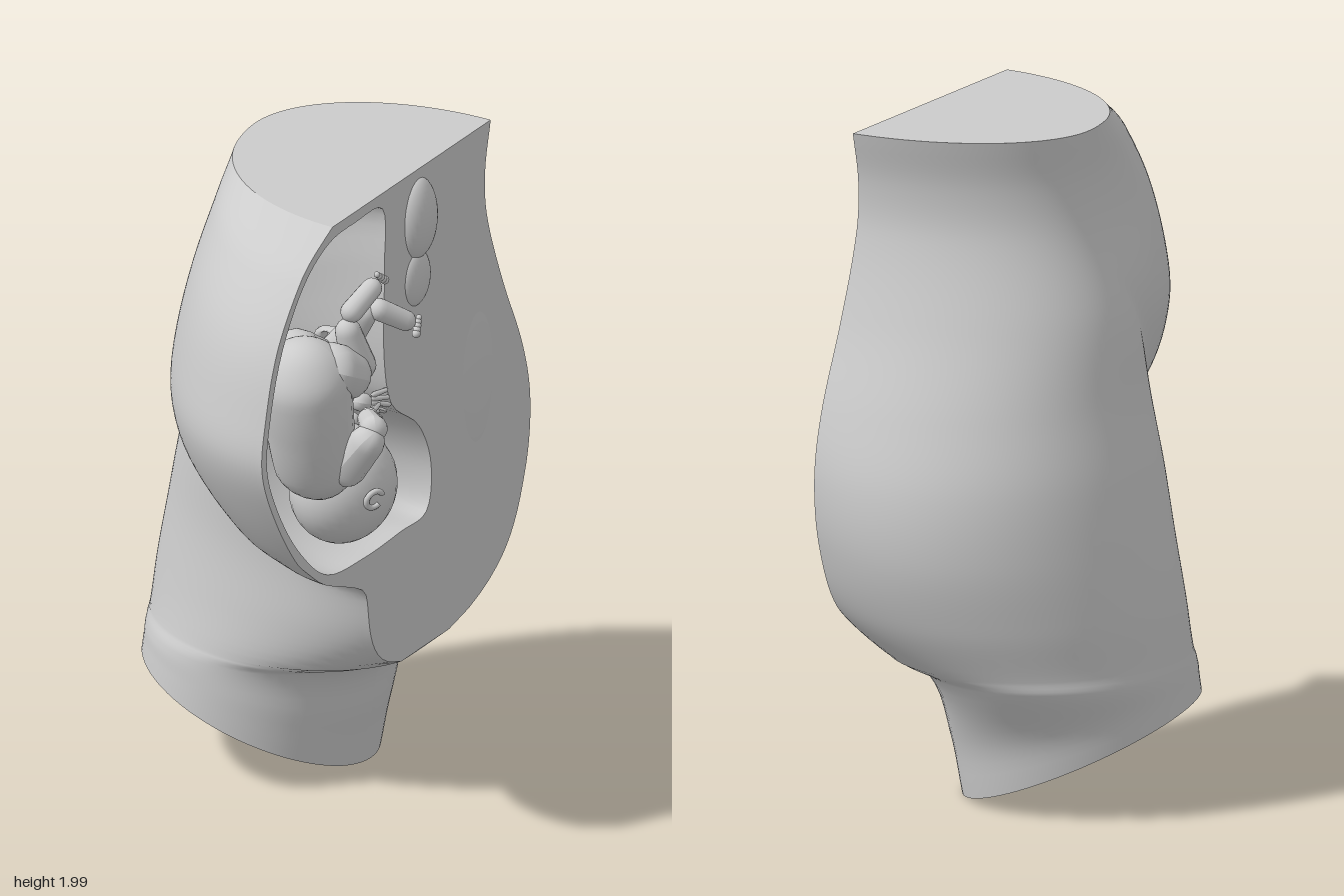
import * as THREE from 'three';

const CUT = 0.33; // x of the flat section plane
const V3 = (a) => new THREE.Vector3(a[0], a[1], a[2]);

// Body sections: y, ellipse centre x, outermost x, front z, back z
const SECTIONS = [
  [0, -0.22, -0.565, 0.25, -0.47], [0.2, -0.2, -0.56, 0.25, -0.5], [0.41, -0.17, -0.555, 0.25, -0.6],
  [0.45, -0.1, -0.55, 0.25, -0.63], [0.6, 0, -0.535, 0.24, -0.71], [0.8, 0.06, -0.5, 0.23, -0.76],
  [1, 0.12, -0.46, 0.25, -0.75], [1.2, 0.2, -0.41, 0.28, -0.68], [1.45, 0.28, -0.36, 0.3, -0.56],
  [1.7, 0.33, -0.27, 0.32, -0.47], [1.85, 0.33, -0.24, 0.33, -0.46], [2, 0.33, -0.24, 0.34, -0.49],
];
// Belly bulge: y, front z at the section plane, half width
const BELLY = [
  [0, -0.1, 0.2], [0.6, -0.1, 0.2], [0.72, 0.1, 0.22], [0.79, 0.25, 0.25], [0.86, 0.41, 0.31], [0.92, 0.49, 0.4],
  [1, 0.575, 0.49], [1.2, 0.7, 0.62], [1.36, 0.76, 0.66], [1.5, 0.745, 0.66], [1.72, 0.675, 0.62],
  [1.9, 0.54, 0.58], [1.96, 0.45, 0.57], [2, 0.36, 0.56],
];

// Smooth interpolation of column k of a table over its first column
function sample(t, k, y) {
  let i = 0;
  while (i < t.length - 2 && y > t[i + 1][0]) i++;
  const slope = (j) => {
    const a = t[Math.max(j - 1, 0)], b = t[Math.min(j + 1, t.length - 1)];
    return (b[k] - a[k]) / (b[0] - a[0]);
  };
  const h = t[i + 1][0] - t[i][0], s = (y - t[i][0]) / h, s2 = s * s, s3 = s2 * s;
  return (2 * s3 - 3 * s2 + 1) * t[i][k] + (s3 - 2 * s2 + s) * h * slope(i)
    + (3 * s2 - 2 * s3) * t[i + 1][k] + (s3 - s2) * h * slope(i + 1);
}

// One horizontal section, from the front of the cut round the side to the back
function ring(y, n) {
  const [xo, side, zF, zB] = [1, 2, 3, 4].map((k) => sample(SECTIONS, k, y));
  const bF = sample(BELLY, 1, y), bw = sample(BELLY, 2, y);
  const w = xo - side, zs = -0.11;
  const start = Math.acos(Math.min(1, (CUT - xo) / w));
  const pts = [];
  for (let i = 0; i <= n; i++) {
    const a = start + (2 * Math.PI - 2 * start) * i / n, s = Math.sin(a);
    const x = xo + w * Math.cos(a);
    let z = zs + s * (s > 0 ? zF - zs : zs - zB);
    if (s > 0) {
      const q = (CUT - x) / bw;
      const belly = -0.1 + (bF + 0.1) * Math.sqrt(Math.max(0, 1 - q * q));
      const merged = (z + belly + Math.hypot(z - belly, 0.05)) / 2 - 0.004;
      z += (merged - z) * THREE.MathUtils.smoothstep(s, 0, 0.35);
    }
    pts.push(new THREE.Vector3(x, y, z));
  }
  return pts;
}

// Surface through rows of points
function loft(rows) {
  const n = rows[0].length, index = [];
  for (let j = 0; j < rows.length - 1; j++) for (let i = 0; i < n - 1; i++) {
    const a = j * n + i, c = a + n;
    index.push(a, a + 1, c, a + 1, c + 1, c);
  }
  const g = new THREE.BufferGeometry().setFromPoints(rows.flat());
  g.setIndex(index);
  g.computeVertexNormals();
  return g;
}

// Rounded tube through [x, y, z, radius] points
function limbGeometry(p, seg = 28, sides = 14) {
  const curve = new THREE.CatmullRomCurve3(p.map(V3));
  const g = new THREE.TubeGeometry(curve, seg, 1, sides, false), pos = g.attributes.position;
  const len = curve.getLength(), v = new THREE.Vector3();
  for (let i = 0; i <= seg; i++) {
    const u = (1 - Math.cos(Math.PI * i / seg)) / 2; // denser rings at the ends
    const c = curve.getPointAt(u), old = curve.getPointAt(i / seg);
    const t = curve.getUtoTmapping(u) * (p.length - 1), k = Math.min(Math.floor(t), p.length - 2);
    const r = THREE.MathUtils.lerp(p[k][3], p[k + 1][3], t - k);
    const d = Math.min(1, Math.min(u, 1 - u) * len / r);
    const rr = r * Math.sqrt(Math.max(0, 1 - (1 - d) * (1 - d)));
    for (let j = 0; j <= sides; j++) {
      const id = i * (sides + 1) + j;
      v.fromBufferAttribute(pos, id).sub(old).multiplyScalar(rr).add(c);
      pos.setXYZ(id, v.x, v.y, v.z);
    }
  }
  g.computeVertexNormals();
  return g;
}

export function createModel() {
  const model = new THREE.Group();
  const grey = new THREE.MeshStandardMaterial({ color: 0xcccccc });
  const thin = new THREE.MeshStandardMaterial({ color: 0xcccccc, side: THREE.DoubleSide });
  const add = (name, geometry, material = grey, parent = model) => {
    const m = new THREE.Mesh(geometry, material);
    m.name = name;
    parent.add(m);
    return m;
  };
  const ball = (name, c, r, parent) => {
    const m = add(name, new THREE.SphereGeometry(1, 32, 20), grey, parent);
    m.position.set(...c);
    m.scale.set(...r);
    return m;
  };

  // Skin: torso down to the crotch, then the open thigh with its slanted rim
  const N = 80, rows = [];
  for (let j = 0; j <= 64; j++) rows.push(ring(2 - 1.55 * j / 64, N));
  const torsoRows = rows.slice();
  for (const y of [0.44, 0.43, 0.42]) rows.push(ring(y, N));
  for (let j = 0; j <= 10; j++) {
    const t = j / 10, r = ring(0.41 * (1 - t), N);
    r.forEach((p) => { p.y = THREE.MathUtils.lerp(0.41, Math.max(0, 0.1 - 0.385 * p.x + 0.2 * p.z), t); });
    rows.push(r);
  }
  add('torsoAndThighSkin', loft(rows), thin);

  // Flat top
  const top = new THREE.ShapeGeometry(new THREE.Shape(rows[0].map((p) => new THREE.Vector2(p.x, -p.z))));
  add('topSection', top.rotateX(-Math.PI / 2).translate(0, 2, 0));

  // Section face with the womb opening
  const opening = new THREE.CatmullRomCurve3([
    [0.1, 1.95], [0.25, 1.965], [0.39, 1.955], [0.52, 1.88], [0.645, 1.71], [0.715, 1.5], [0.73, 1.36], [0.67, 1.2],
    [0.55, 1.02], [0.4, 0.89], [0.2, 0.865], [0, 0.87], [-0.14, 0.88], [-0.165, 1.02], [-0.1, 1.17],
    [0.05, 1.3], [0.09, 1.45], [0.09, 1.75],
  ].map(([z, y]) => new THREE.Vector3(CUT, y, z)), true).getPoints(90);
  const flat = (p) => new THREE.Vector2(-p.z, p.y);
  const face = new THREE.Shape([
    ...torsoRows.map((r) => flat(r[0])), ...torsoRows.map((r) => flat(r[N])).reverse(),
  ]);
  face.holes.push(new THREE.Path(opening.slice(0, -1).map(flat)));
  add('sectionFace', new THREE.ShapeGeometry(face).rotateY(Math.PI / 2).translate(CUT, 0, 0), thin);

  // Womb cavity: the opening shrinking to a dome inside the belly
  const cavity = [];
  for (let j = 0; j <= 20; j++) {
    const a = Math.PI / 2 * j / 20, s = Math.cos(a);
    cavity.push(opening.map((p) => new THREE.Vector3(
      CUT - 0.46 * Math.sin(a), 1.4 + (p.y - 1.4) * s, 0.28 + (p.z - 0.28) * s)));
  }
  add('wombCavity', loft(cavity), thin);

  // Soft swellings on the section face over the spine
  ball('upperSpineSwelling', [0.32, 1.84, -0.1], [0.055, 0.13, 0.08]);
  ball('lowerSpineSwelling', [0.32, 1.65, -0.09], [0.035, 0.09, 0.07]);
  ball('pelvicSwelling', [0.32, 1.2, -0.42], [0.018, 0.25, 0.1]);

  // Curled baby, head down
  const baby = new THREE.Group();
  baby.name = 'baby';
  model.add(baby);
  const limb = (name, pts, seg, sides) => add(name, limbGeometry(pts, seg, sides), grey, baby);

  limb('babyTrunk', [[0.28, 1.16, 0.33, 0.1], [0.3, 1.25, 0.41, 0.125], [0.31, 1.4, 0.465, 0.13],
    [0.31, 1.55, 0.49, 0.14], [0.31, 1.68, 0.48, 0.13]], 36, 24);
  ball('babyHead', [0.245, 1.07, 0.18], [0.15, 0.17, 0.18], baby);
  ball('babyFace', [0.25, 1.17, 0.19], [0.11, 0.1, 0.105], baby);
  ball('babyNose', [0.25, 1.262, 0.135], [0.02, 0.025, 0.02], baby);
  ball('babyLips', [0.25, 1.272, 0.18], [0.03, 0.012, 0.018], baby);
  ball('babyChin', [0.25, 1.262, 0.22], [0.035, 0.025, 0.025], baby);
  for (const s of [-1, 1]) {
    ball('babyEyelid', [0.25 + s * 0.05, 1.24, 0.115], [0.025, 0.012, 0.016], baby);
    const ear = add('babyEar', new THREE.TorusGeometry(0.028, 0.009, 10, 24, 5), grey, baby);
    ear.position.set(0.245 + s * 0.145, 1.085, 0.24);
    ear.rotation.set(0.5, Math.PI / 2 - s * 0.45, 0);
  }

  // Arms, each with a hand of five fingers
  const arm = (name, shoulder, elbow, wrist, tip) => {
    limb(name + 'Upper', [[...shoulder, 0.07], [...elbow, 0.048]]);
    limb(name + 'Forearm', [[...elbow, 0.048], [...wrist, 0.028]]);
    const w = V3(wrist), dir = V3(tip).sub(w);
    const palm = w.clone().addScaledVector(dir, 0.45);
    limb(name + 'Palm', [[...wrist, 0.026], [...palm.toArray(), 0.03]], 12);
    const across = new THREE.Vector3(1, 0, 0).cross(dir).normalize();
    for (let i = -2; i <= 2; i++) {
      const from = palm.clone().addScaledVector(across, i * 0.011);
      const to = w.clone().add(dir).addScaledVector(across, i * 0.022).addScaledVector(dir, -0.08 * Math.abs(i));
      limb(name + 'Finger', [[...from.toArray(), 0.01], [...to.toArray(), 0.007]], 10, 8);
    }
  };
  arm('babyLeftArm', [0.37, 1.22, 0.41], [0.515, 1.41, 0.43], [0.4, 1.38, 0.3], [0.37, 1.32, 0.19]);
  arm('babyRightArm', [0.2, 1.22, 0.38], [0.16, 1.42, 0.34], [0.29, 1.36, 0.2], [0.34, 1.31, 0.07]);

  // Bent legs, each with a foot of five toes
  const leg = (name, hip, knee, ankle, toe, spread) => {
    limb(name + 'Thigh', [[...hip, 0.105], [...knee, 0.066]]);
    limb(name + 'Shin', [[...knee, 0.064], [...ankle, 0.034]]);
    limb(name + 'Foot', [[...ankle, 0.036], [...toe, 0.03]], 18);
    const side = V3(spread), dir = V3(toe).sub(V3(ankle)).normalize();
    for (let i = -2; i <= 2; i++) {
      const c = V3(toe).addScaledVector(side, i * 0.012).addScaledVector(dir, 0.012 - 0.003 * i);
      const r = 0.011 - 0.001 * i;
      ball(name + 'Toe', c.toArray(), [r, r, r], baby);
    }
  };
  leg('babyLeftLeg', [0.36, 1.61, 0.51], [0.4, 1.51, 0.32], [0.37, 1.71, 0.37], [0.41, 1.8, 0.25], [0, 0.8, 0.6]);
  leg('babyRightLeg', [0.24, 1.61, 0.49], [0.22, 1.47, 0.23], [0.37, 1.7, 0.23], [0.455, 1.62, 0.125], [0, 0.7, -0.7]);

  // Cord from the baby's belly to the womb wall
  limb('umbilicalCord', [[0.33, 1.43, 0.37, 0.018], [0.35, 1.5, 0.23, 0.018], [0.28, 1.44, 0.17, 0.018],
    [0.2, 1.55, 0.16, 0.018], [0.12, 1.5, 0.12, 0.018]], 40, 10);

  return model;
}
